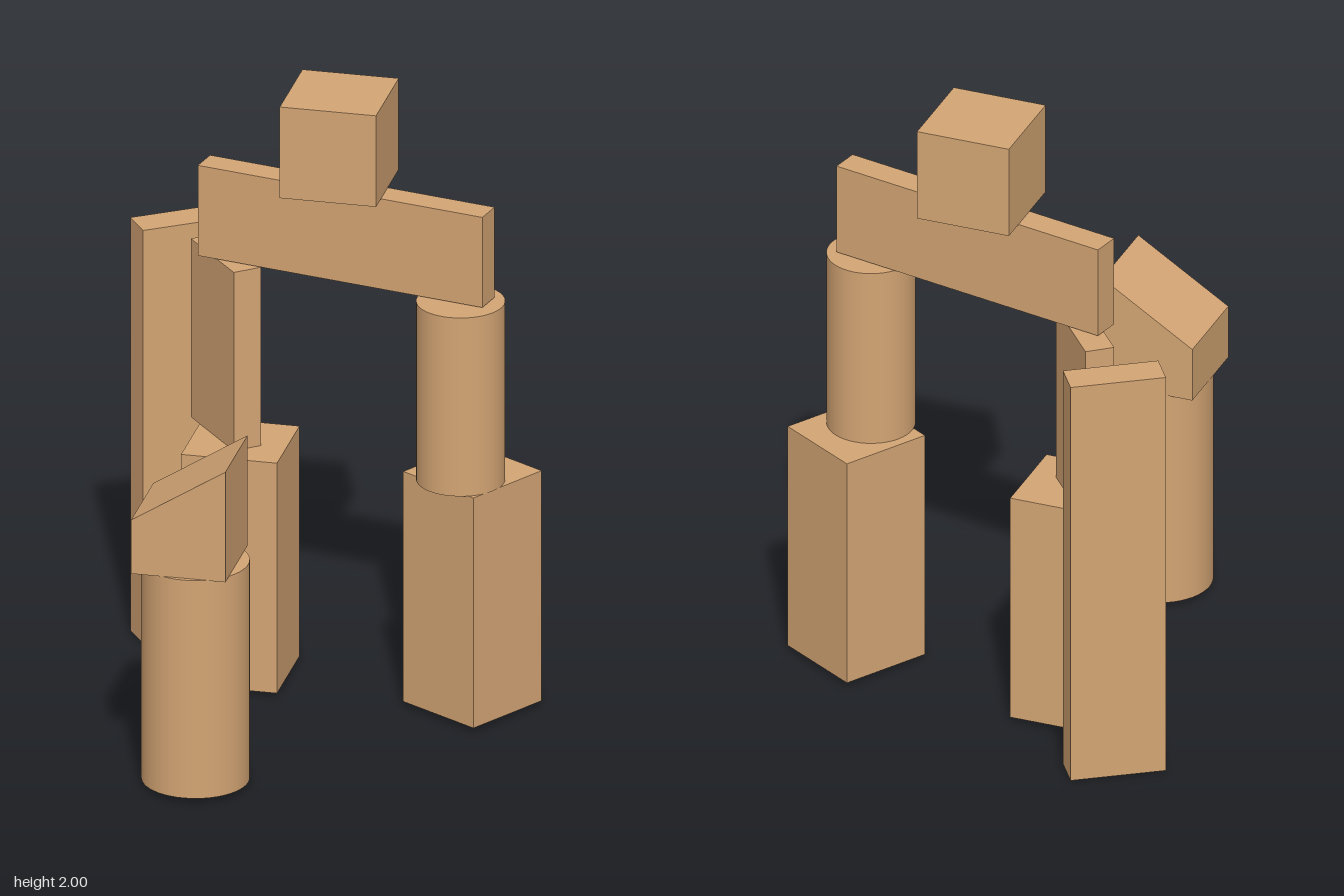
import * as THREE from 'three';

const wood = new THREE.MeshStandardMaterial({ color: 0xd4a574 });

export function createModel() {
  const model = new THREE.Group();
  model.name = 'blockStructure';

  function add(name, geometry, x, y, z, turn = 0) {
    const mesh = new THREE.Mesh(geometry, wood);
    mesh.name = name;
    mesh.position.set(x, y, z);
    mesh.rotation.y = turn;
    model.add(mesh);
  }

  // Block standing between two heights, turned about the vertical
  function block(name, [w, d], [y0, y1], x, z, turn) {
    add(name, new THREE.BoxGeometry(w, y1 - y0, d), x, (y0 + y1) / 2, z, turn);
  }

  // Upright round pillar between two heights
  function pillar(name, r, [y0, y1], x, z) {
    add(name, new THREE.CylinderGeometry(r, r, y1 - y0, 48), x, (y0 + y1) / 2, z);
  }

  // Arch: two bases, two uprights, a lintel and a cube on top
  block('leftBase', [0.303, 0.303], [0.015, 0.788], 0.478, -0.223, -0.54);
  pillar('leftPillar', 0.138, [0.788, 1.387], 0.457, -0.153);
  block('rightBase', [0.305, 0.303], [0.015, 0.788], -0.277, -0.296, 0);
  block('rightPlank', [0.3, 0.093], [0.788, 1.387], -0.337, -0.355, -0.88);
  block('lintel', [0.972, 0.09], [1.39, 1.693], 0.07, -0.252, -0.207);
  block('topCube', [0.306, 0.306], [1.694, 2], 0.045, -0.264, 0);

  // Free-standing tall plank behind the arch
  block('tallPlank', [0.302, 0.111], [0, 1.387], -0.533, -0.6, 0.597);

  // Front tower: round pillar with a sloped block on top
  pillar('frontPillar', 0.168, [0.015, 0.747], -0.217, 0.562);
  const slope = new THREE.Shape([
    new THREE.Vector2(-0.15, 0),
    new THREE.Vector2(0.15, 0),
    new THREE.Vector2(0.15, 0.37),
    new THREE.Vector2(-0.15, 0.18),
  ]);
  const wedge = new THREE.ExtrudeGeometry(slope, { depth: 0.3, bevelEnabled: false });
  wedge.translate(0, 0, -0.15);
  add('slopedBlock', wedge, -0.236, 0.746, 0.565);

  return model;
}
